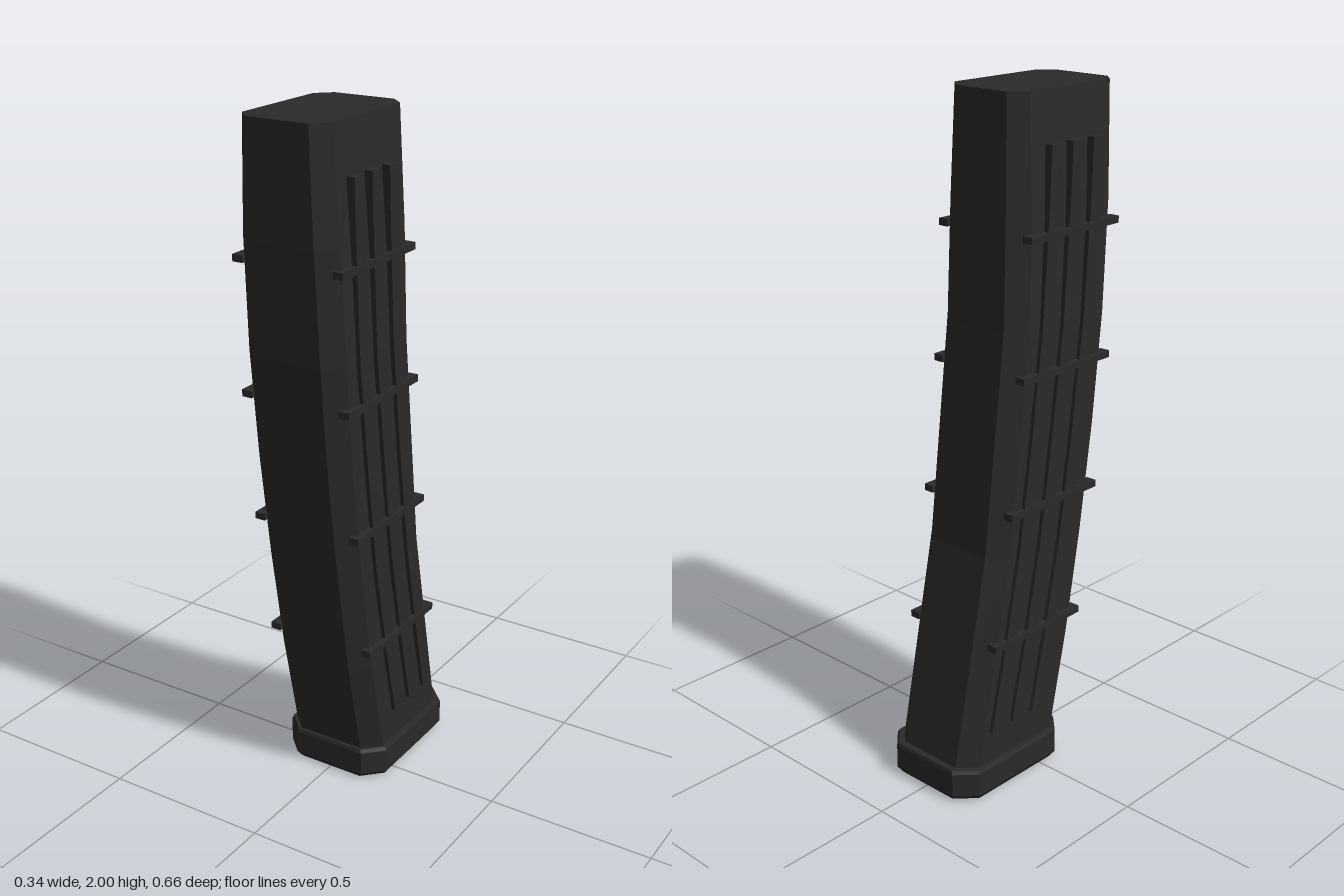
import * as THREE from 'three';

// Piecewise-linear lookup in a list of [y, value] pairs
function lookup(table, y) {
  for (let i = 1; i < table.length; i++) {
    const [y0, v0] = table[i - 1], [y1, v1] = table[i];
    if (y <= y1) return THREE.MathUtils.lerp(v0, v1, (y - y0) / (y1 - y0));
  }
  return table[table.length - 1][1];
}

// Curved front and back edges of the body, and its half width
const FRONT = [[0.1, 0.1], [0.4, 0.166], [0.72, 0.222], [1.04, 0.268], [1.36, 0.302], [1.68, 0.322], [2, 0.328]];
const BACK = [[0.1, -0.305], [0.72, -0.178], [1.36, -0.102], [2, -0.078]];
const HALF = [[0.1, 0.155], [1.36, 0.155], [1.68, 0.151], [2, 0.135]];
const centre = (y) => (lookup(FRONT, y) + lookup(BACK, y)) / 2;

// Horizontal rectangle section with optional chamfered corners, counterclockwise from above
function section(y, x0, x1, z0, z1, c = 0) {
  const pts = c
    ? [[x1, z1 - c], [x1, z0 + c], [x1 - c, z0], [x0 + c, z0], [x0, z0 + c], [x0, z1 - c], [x0 + c, z1], [x1 - c, z1]]
    : [[x1, z1], [x1, z0], [x0, z0], [x0, z1]];
  return pts.map(([x, z]) => [x, y, z]);
}

// Closed solid through sections listed from bottom to top
function loft(rings) {
  const pos = [];
  const tri = (a, b, c) => pos.push(...a, ...b, ...c);
  const n = rings[0].length;
  for (let r = 1; r < rings.length; r++) {
    const lo = rings[r - 1], hi = rings[r];
    for (let i = 0; i < n; i++) {
      const j = (i + 1) % n;
      tri(lo[i], lo[j], hi[j]);
      tri(lo[i], hi[j], hi[i]);
    }
  }
  const bottom = rings[0], top = rings[rings.length - 1];
  for (let i = 1; i < n - 1; i++) {
    tri(top[0], top[i], top[i + 1]);
    tri(bottom[0], bottom[i + 1], bottom[i]);
  }
  const geo = new THREE.BufferGeometry();
  geo.setAttribute('position', new THREE.Float32BufferAttribute(pos, 3));
  geo.computeVertexNormals();
  return geo;
}

export function createModel() {
  const group = new THREE.Group();
  const black = new THREE.MeshStandardMaterial({ color: 0x2a2a2a, flatShading: true });
  black.name = 'matteBlack';
  const add = (name, geo) => {
    const mesh = new THREE.Mesh(geo, black);
    mesh.name = name;
    group.add(mesh);
    return mesh;
  };

  // Curved chamfered body, narrowing at the top
  add('body', loft([0.08, 0.1, 0.4, 0.72, 1.04, 1.36, 1.68, 2].map((y) => {
    const w = lookup(HALF, Math.max(y, 0.1)), s = Math.max(y, 0.1);
    return section(y, -w, w, lookup(BACK, s), lookup(FRONT, s), y === 2 ? 0.042 : 0.049);
  })));

  // Base plate with a bevelled underside
  add('basePlate', loft([[0, 0.012], [0.018, 0], [0.09, 0], [0.1, 0.004]].map(([y, inset]) =>
    section(y, -0.17 + inset, 0.17 - inset, -0.328 + inset, 0.112 - inset, 0.055))));

  for (const side of [1, -1]) {
    const label = side > 0 ? 'left' : 'right';
    const xs = (inner, outer) => (side > 0 ? [inner, outer] : [-outer, -inner]);

    // Three long ribs following the curve
    for (let k = 0; k < 3; k++) {
      const rings = [0.2, 0.4, 0.72, 1.04, 1.36, 1.68, 1.86].map((y) => {
        const z = centre(y) + 0.06 + 0.03 * (y - 0.2) / 1.66 - 0.085 * k;
        return section(y, ...xs(0.13, 0.167), z - 0.023, z + 0.023);
      });
      add(label + 'Rib' + (k + 1), loft(rings));
    }

    // Four short cross bars
    [0.465, 0.85, 1.235, 1.62].forEach((y, k) => {
      const bar = add(label + 'CrossBar' + (k + 1), new THREE.BoxGeometry(0.032, 0.02, 0.36));
      bar.position.set(side * 0.156, y, centre(y) + 0.002);
    });
  }
  return group;
}
